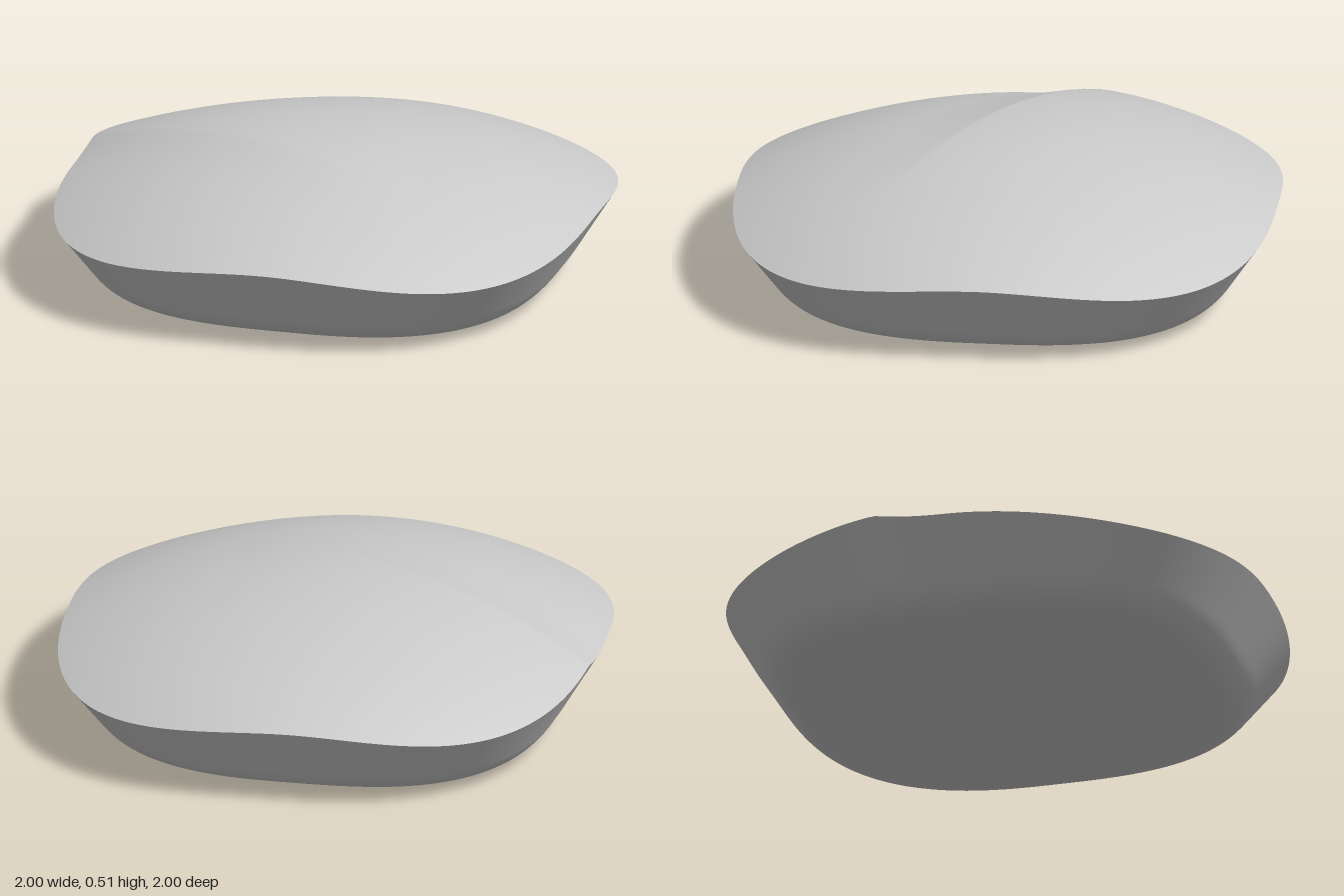
import * as THREE from 'three';
import { mergeVertices } from 'three/addons/utils/BufferGeometryUtils.js';

const SEGMENTS = 240;
const POWER = 2.65; // rounded-square outline
const { smoothstep, clamp } = THREE.MathUtils;

// Distance from the centre to the outline at an angle.
function outline(angle) {
  const c = Math.abs(Math.cos(angle)), s = Math.abs(Math.sin(angle));
  return (c ** POWER + s ** POWER) ** (-1 / POWER);
}

// Slanted fold: steep in front, fading slowly behind, growing toward -x.
function foldHeight(x, z) {
  const rise = 0.04 * clamp((0.4 - x) / 1.38, 0, 1);
  const d = -0.431 * (x - 0.4) + 0.902 * (z - 0.42);
  const profile = d > 0 ? Math.max(0, 1 - d / 0.24) ** 2 : 1 - smoothstep(-d, 0, 1.1);
  return rise * profile;
}

// Domed top; s runs from 0 at the centre to 1 at the rim.
function topHeight(angle, s) {
  const r = s * outline(angle);
  const corner = 0.01 * (1 - Math.cos(4 * angle)) * s ** 4;
  return 0.503 - 0.193 * r * r - corner + foldHeight(r * Math.cos(angle), r * Math.sin(angle));
}

// Closed rings of points joined into a smooth surface.
function ringSurface(rings, pointAt) {
  const positions = [], index = [];
  for (let i = 0; i <= rings; i++) {
    for (let j = 0; j < SEGMENTS; j++) {
      const angle = (j / SEGMENTS) * Math.PI * 2;
      const [s, y] = pointAt(i / rings, angle);
      const r = s * outline(angle);
      positions.push(r * Math.cos(angle), y, r * Math.sin(angle));
      if (i === rings) continue;
      const a = i * SEGMENTS + j, b = i * SEGMENTS + (j + 1) % SEGMENTS;
      index.push(a, b, b + SEGMENTS, a, b + SEGMENTS, a + SEGMENTS);
    }
  }
  let geometry = new THREE.BufferGeometry();
  geometry.setAttribute('position', new THREE.Float32BufferAttribute(positions, 3));
  geometry.setIndex(index);
  geometry = mergeVertices(geometry, 1e-5);
  geometry.computeVertexNormals();
  return geometry;
}

export function createModel() {
  const group = new THREE.Group();
  group.name = 'foldedCushion';
  const material = new THREE.MeshStandardMaterial({ color: 0xcccccc });

  // Domed top with the fold
  const top = new THREE.Mesh(ringSurface(90, (t, angle) => [t, topHeight(angle, t)]), material);
  top.name = 'domedTop';

  // Sloping side, rounded lower edge and flat bottom, from rim to centre;
  // x is the share of the outline, y the share of the rim height
  const side = new THREE.CurvePath();
  const v = (x, y) => new THREE.Vector2(x, y);
  side.add(new THREE.LineCurve(v(1, 1), v(0.88, 0.36)));
  side.add(new THREE.CubicBezierCurve(v(0.88, 0.36), v(0.835, 0.12), v(0.78, 0), v(0.66, 0)));
  side.add(new THREE.LineCurve(v(0.66, 0), v(0, 0)));
  const profile = side.curves.flatMap((curve, i) => curve.getPoints(12).slice(i ? 1 : 0));
  const last = profile.length - 1;
  const underside = new THREE.Mesh(ringSurface(last, (t, angle) => {
    const p = profile[Math.round(t * last)];
    return [p.x, p.y * topHeight(angle, 1)];
  }), material);
  underside.name = 'underside';

  group.add(top, underside);
  return group;
}
